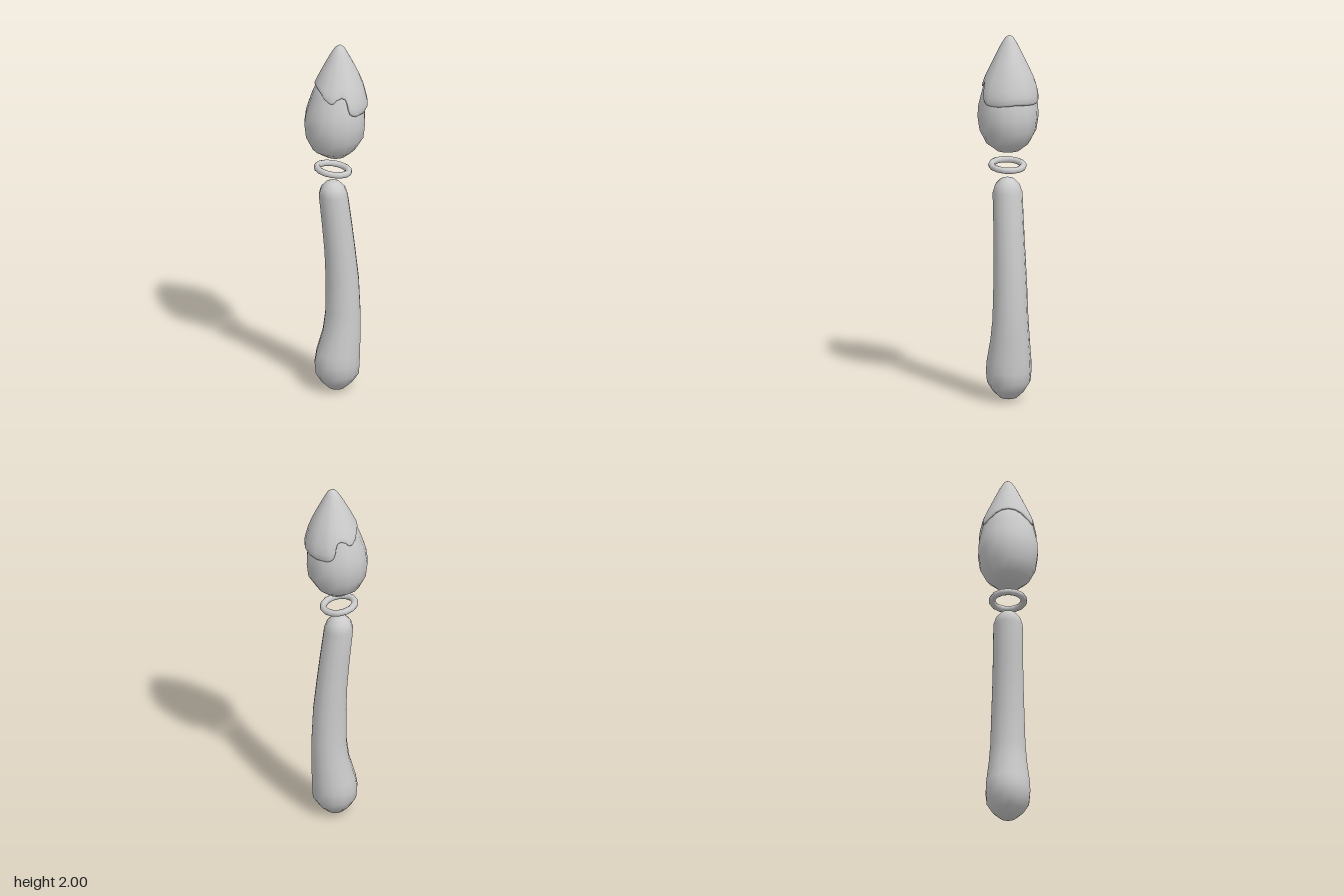
import * as THREE from 'three';
import { mergeVertices } from 'three/addons/utils/BufferGeometryUtils.js';

const SEGMENTS = 14;
const material = new THREE.MeshStandardMaterial({ color: 0xcccccc, side: THREE.DoubleSide });

// Joins closed rows of points, listed bottom to top, into a smooth skin.
function skin(name, rows) {
  const n = rows[0].length;
  const index = [];
  for (let i = 0; i < rows.length - 1; i++) {
    for (let j = 0; j < n; j++) {
      const a = i * n + j, b = i * n + (j + 1) % n;
      index.push(a, a + n, b, b, a + n, b + n);
    }
  }
  let geometry = new THREE.BufferGeometry().setFromPoints(rows.flat());
  geometry.setIndex(index);
  geometry = mergeVertices(geometry, 1e-5);
  geometry.computeVertexNormals();
  const mesh = new THREE.Mesh(geometry, material);
  mesh.name = name;
  return mesh;
}

// Point on an elliptical section [y, left x, right x, z radius].
function onSection([y, left, right, rz], angle, scale = 1) {
  const cx = (left + right) / 2, rx = (right - left) / 2;
  return new THREE.Vector3(cx + rx * scale * Math.cos(angle), y, rz * scale * Math.sin(angle));
}

function loft(name, sections) {
  return skin(name, sections.map((s) => Array.from({ length: SEGMENTS },
    (_, j) => onSection(s, (j / SEGMENTS) * Math.PI * 2))));
}

// Section at any height, blended between the two nearest ones.
function sectionAt(sections, y) {
  let i = 0;
  while (i < sections.length - 2 && y > sections[i + 1][0]) i++;
  const a = sections[i], b = sections[i + 1];
  const t = (y - a[0]) / (b[0] - a[0]);
  return a.map((v, k) => THREE.MathUtils.lerp(v, b[k], t));
}

// Pointed cap whose wavy hem is mirrored front to back.
function createCap() {
  const sections = [
    [1.62, -0.157, 0.16, 0.16], [1.67, -0.15, 0.169, 0.157], [1.71, -0.14, 0.16, 0.15],
    [1.77, -0.122, 0.145, 0.13], [1.84, -0.09, 0.117, 0.097], [1.94, -0.037, 0.066, 0.049],
    [1.985, -0.008, 0.041, 0.022], [2, 0.02, 0.02, 0],
  ];
  // Hem heights by angle in degrees from +x
  const half = [
    [0, 1.64], [20, 1.635], [40, 1.63], [62, 1.63], [70, 1.637], [77, 1.65], [82, 1.68],
    [84, 1.71], [87, 1.733], [95, 1.742], [107, 1.73], [113, 1.713], [120, 1.71],
    [135, 1.73], [148, 1.755], [164, 1.77], [180, 1.775],
  ];
  const hem = [...half, ...half.slice(1, -1).reverse().map(([d, y]) => [360 - d, y])];
  // [height fraction from hem to tip, scale]: the first rows roll the hem inward
  const steps = [[0.04, 0.87], [0, 0.93], [0.005, 0.97], [0.04, 1], [0.12, 1], [0.22, 1],
    [0.35, 1], [0.5, 1], [0.65, 1], [0.8, 1], [0.9, 1], [0.95, 1], [0.985, 1], [1, 1]];
  return skin('cap', steps.map(([t, scale]) => hem.map(([degrees, y]) =>
    onSection(sectionAt(sections, THREE.MathUtils.lerp(y, 2, t)),
      THREE.MathUtils.degToRad(degrees), scale))));
}

export function createModel() {
  const group = new THREE.Group();
  group.name = 'model';

  // Curved handle with a swollen foot
  group.add(loft('handle', [
    [0, 0, 0, 0], [0.012, -0.045, 0.045, 0.045], [0.05, -0.085, 0.088, 0.086],
    [0.1, -0.114, 0.122, 0.116], [0.16, -0.12, 0.126, 0.122], [0.22, -0.11, 0.128, 0.119],
    [0.34, -0.075, 0.131, 0.105], [0.45, -0.061, 0.13, 0.096], [0.64, -0.06, 0.121, 0.09],
    [0.8, -0.066, 0.103, 0.085], [0.95, -0.079, 0.085, 0.082], [1.13, -0.097, 0.061, 0.08],
    [1.175, -0.085, 0.045, 0.065], [1.203, -0.058, 0.017, 0.037], [1.215, -0.02, -0.02, 0],
  ]));

  // Tilted floating ring
  const ring = new THREE.Mesh(
    new THREE.TorusGeometry(0.086, 0.018, 8, SEGMENTS).rotateX(Math.PI / 2), material);
  ring.name = 'ring';
  ring.position.set(-0.02, 1.278, 0);
  ring.rotation.z = -0.15;
  group.add(ring);

  // Egg-shaped head, running up under the cap
  group.add(loft('head', [
    [1.35, 0, 0, 0], [1.362, -0.065, 0.05, 0.06], [1.402, -0.13, 0.1, 0.115],
    [1.475, -0.167, 0.147, 0.152], [1.55, -0.176, 0.156, 0.163], [1.61, -0.168, 0.153, 0.16],
    [1.66, -0.153, 0.143, 0.149], [1.72, -0.132, 0.13, 0.135], [1.77, -0.11, 0.11, 0.115],
    [1.86, -0.05, 0.06, 0.05], [1.9, 0.01, 0.01, 0],
  ]));

  group.add(createCap());
  return group;
}
